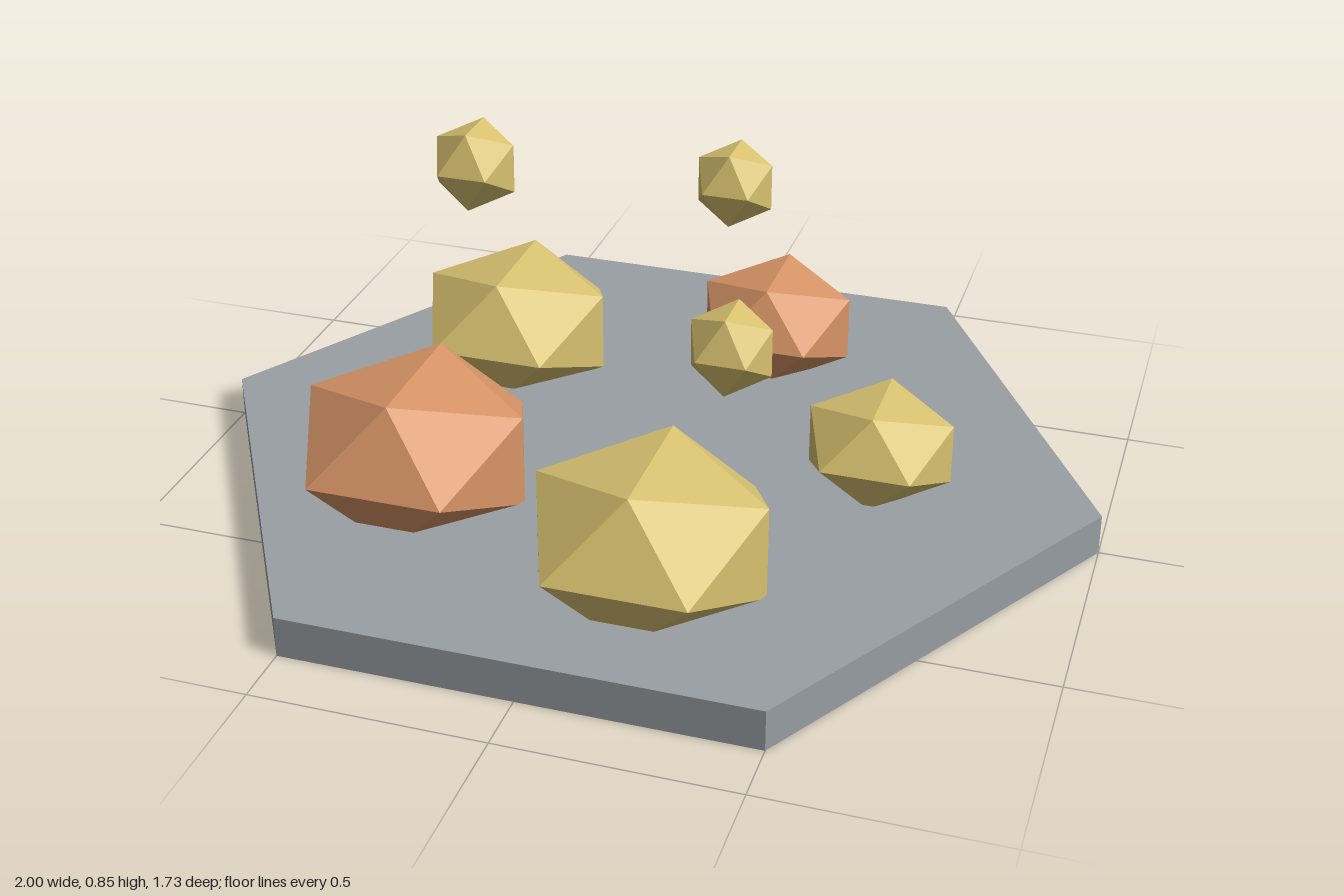
import * as THREE from 'three';

const mat = (name, color) => {
  const m = new THREE.MeshStandardMaterial({ color });
  m.name = name;
  return m;
};

export function createModel() {
  const group = new THREE.Group();
  const stone = mat('slate grey', 0x999fa3);
  const gold = mat('pale gold', 0xd8c270);
  const copper = mat('copper', 0xd89466);

  // Hexagonal base plate with corners on the x axis
  const baseGeo = new THREE.CylinderGeometry(1, 1, 0.09, 6).rotateY(Math.PI / 6).toNonIndexed();
  baseGeo.computeVertexNormals();
  const base = new THREE.Mesh(baseGeo, stone);
  base.name = 'hexBase';
  base.position.y = 0.045;
  group.add(base);

  // Faceted nugget: an icosahedron, optionally squashed in height
  const addNugget = (name, material, radius, squash, x, y, z) => {
    const geo = new THREE.IcosahedronGeometry(radius, 0).rotateY(Math.PI / 2).scale(1, squash, 1);
    geo.computeVertexNormals();
    const mesh = new THREE.Mesh(geo, material);
    mesh.name = name;
    mesh.position.set(x, y, z);
    group.add(mesh);
  };

  // Squashed boulders half sunk into the base: material, radius, x, z
  [
    [gold, 0.285, 0.16, 0.495],
    [copper, 0.285, -0.424, 0.305],
    [gold, 0.25, -0.424, -0.309],
    [copper, 0.203, 0.16, -0.498],
    [gold, 0.183, 0.52, 0.003],
  ].forEach(([m, r, x, z], i) => addNugget('boulder' + (i + 1), m, r, 0.7, x, 0.185, z));

  // Small floating nuggets: x, y, z
  [
    [-0.352, 0.76, 0.094],
    [0.09, 0.587, -0.353],
    [0.255, 0.503, 0.257],
  ].forEach((p, i) => addNugget('floatingNugget' + (i + 1), gold, 0.1, 1, ...p));

  return group;
}
